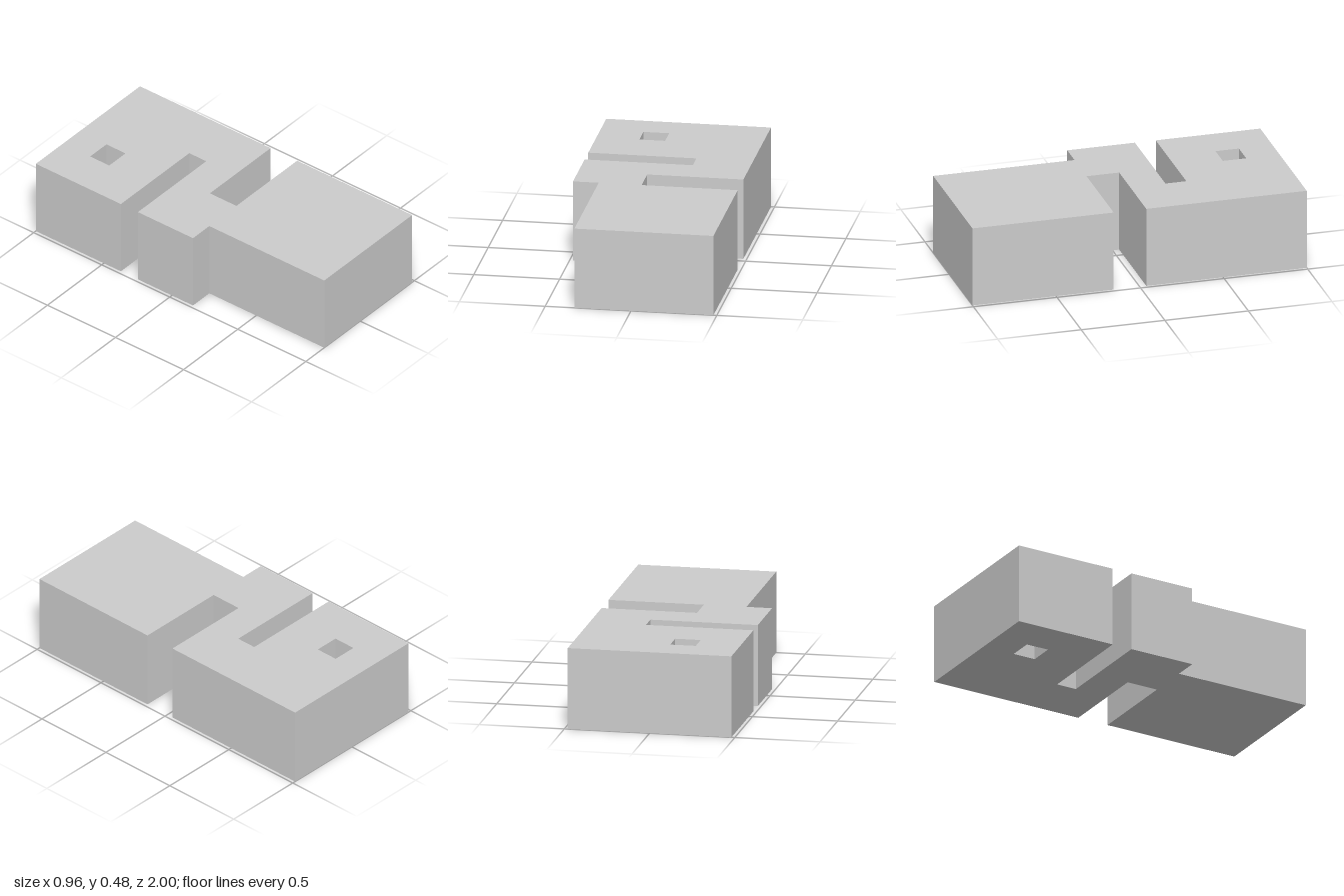
import * as THREE from 'three';

const HEIGHT = 0.48;

// Plan points are [x, z]; the shape lies in x, -z so that it extrudes upwards.
const toPoints = (plan) => plan.map(([x, z]) => new THREE.Vector2(x, -z));

export function createModel() {
  const group = new THREE.Group();
  group.name = 'slottedBlock';

  const outline = new THREE.Shape(toPoints([
    [-0.33, 1], [0.48, 1],
    [0.48, 0.155], [-0.08, 0.155], [-0.08, -0.04], [0.48, -0.04], // left slot
    [0.48, -1], [-0.48, -1],
    [-0.48, -0.375], [0.15, -0.375], [0.15, -0.25], [-0.48, -0.25], // right slot
    [-0.48, 0.155], [-0.33, 0.155], // step to the narrower front
  ]));

  // Square hole through the rear section
  outline.holes.push(new THREE.Path(toPoints([
    [-0.23, -0.8], [-0.08, -0.8], [-0.08, -0.66], [-0.23, -0.66],
  ])));

  const geometry = new THREE.ExtrudeGeometry(outline, { depth: HEIGHT, bevelEnabled: false });
  geometry.rotateX(-Math.PI / 2);

  const body = new THREE.Mesh(
    geometry,
    new THREE.MeshStandardMaterial({ color: 0xcccccc, flatShading: true })
  );
  body.name = 'body';
  group.add(body);
  return group;
}
